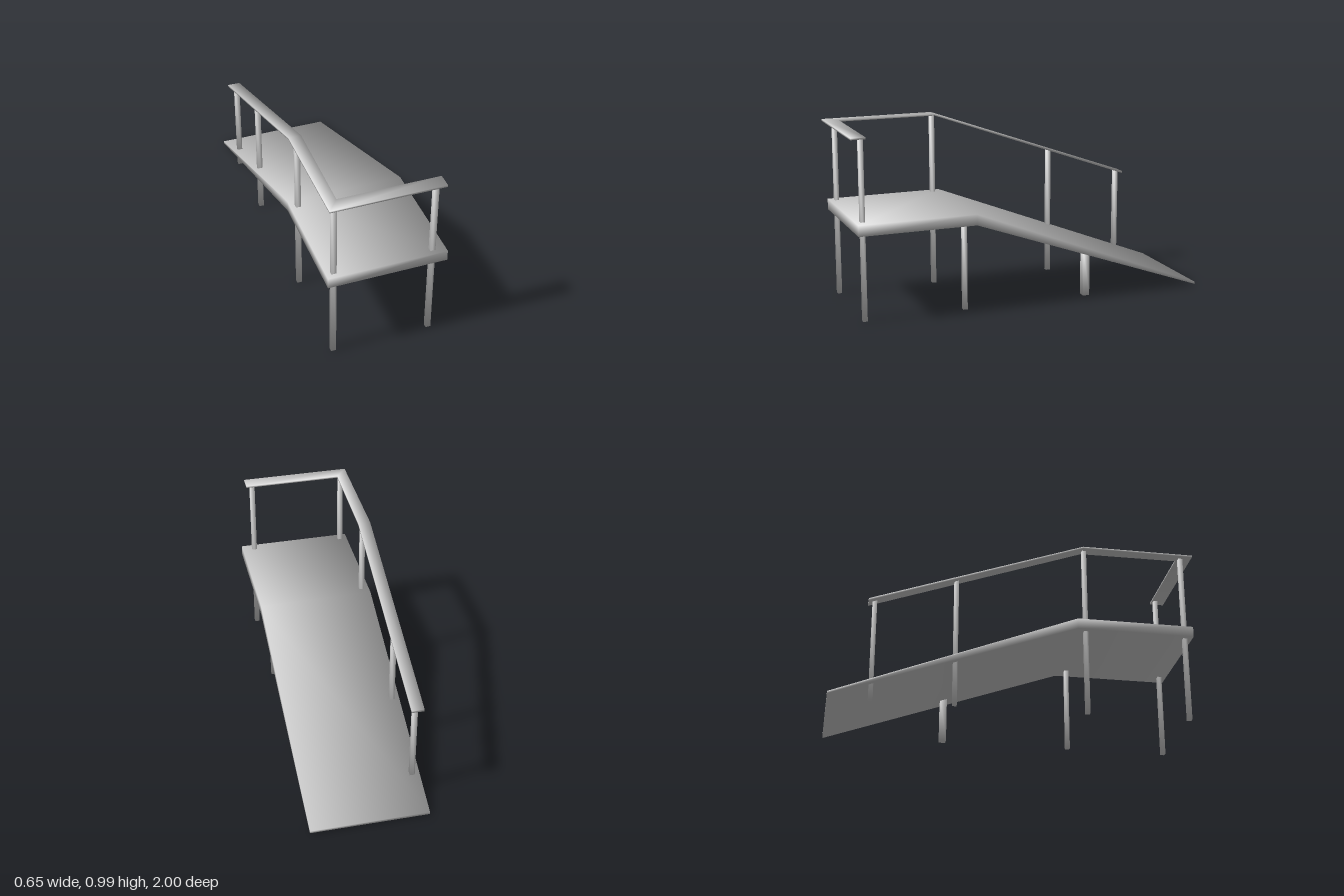
import * as THREE from 'three';

const material = new THREE.MeshStandardMaterial({ color: 0xcccccc });

// Closed solid through rings of four corners, with soft normals shared at each corner
function loft(name, rings) {
  const points = rings.flat().map(p => new THREE.Vector3(...p));
  const normals = points.map(() => new THREE.Vector3());
  const index = [];
  const quad = (a, b, c, d) => {
    index.push(a, b, c, a, c, d);
    const n = points[c].clone().sub(points[a])
      .cross(points[d].clone().sub(points[b])).normalize();
    [a, b, c, d].forEach(i => normals[i].add(n));
  };
  quad(0, 1, 2, 3);
  for (let r = 0; r < rings.length - 1; r++) {
    for (let j = 0; j < 4; j++) {
      const a = r * 4 + j, b = r * 4 + (j + 1) % 4;
      quad(a, a + 4, b + 4, b);
    }
  }
  const e = (rings.length - 1) * 4;
  quad(e + 3, e + 2, e + 1, e);

  const geometry = new THREE.BufferGeometry().setFromPoints(points);
  geometry.setAttribute('normal', new THREE.Float32BufferAttribute(
    normals.flatMap(n => n.normalize().toArray()), 3));
  geometry.setIndex(index);
  const mesh = new THREE.Mesh(geometry, material);
  mesh.name = name;
  return mesh;
}

// Upright square post standing on the ground
function post(name, x, z, height, w = 0.028, d = 0.024) {
  const ring = y => [
    [x - w / 2, y, z + d / 2], [x + w / 2, y, z + d / 2],
    [x + w / 2, y, z - d / 2], [x - w / 2, y, z - d / 2],
  ];
  return loft(name, [ring(height), ring(0)]);
}

export function createModel() {
  const model = new THREE.Group();
  model.name = 'rampWithHandrail';

  // Level platform running into a ramp that thins toward the ground
  const half = 0.325;
  const deckProfile = [[0.98, 0.48, 0.54], [0.33, 0.48, 0.54], [-1, 0.005, 0.018]];
  model.add(loft('deck', deckProfile.map(([z, low, top]) => [
    [-half, low, z], [half, low, z], [half, top, z], [-half, top, z],
  ])));

  // Flat handrail: across the front, mitred corner, then back and down the ramp
  // Each row: outer x, z; inner x, z; bottom and top height
  const railPath = [
    [0.29, 1, 0.29, 0.92, 0.981, 0.991],
    [-half, 1, -0.262, 0.92, 0.981, 0.991],
    [-half, 0.37, -0.256, 0.37, 0.981, 0.991],
    [-half, -0.81, -0.256, -0.81, 0.557, 0.569],
  ];
  model.add(loft('handrail', railPath.map(([ox, oz, ix, iz, low, top]) => [
    [ox, low, oz], [ix, low, iz], [ix, top, iz], [ox, top, oz],
  ])));

  // Posts carrying the handrail
  [[0.94, 0.985], [0.38, 0.985], [-0.335, 0.733], [-0.775, 0.575]].forEach(([z, h]) =>
    model.add(post('railPost', -0.283, z, h)));
  model.add(post('railPost', 0.254, 0.94, 0.985));

  // Short supports under the open side
  model.add(post('deckSupport', 0.254, 0.38, 0.49));
  model.add(post('rampSupport', 0.254, -0.335, 0.25, 0.045, 0.037));

  return model;
}
